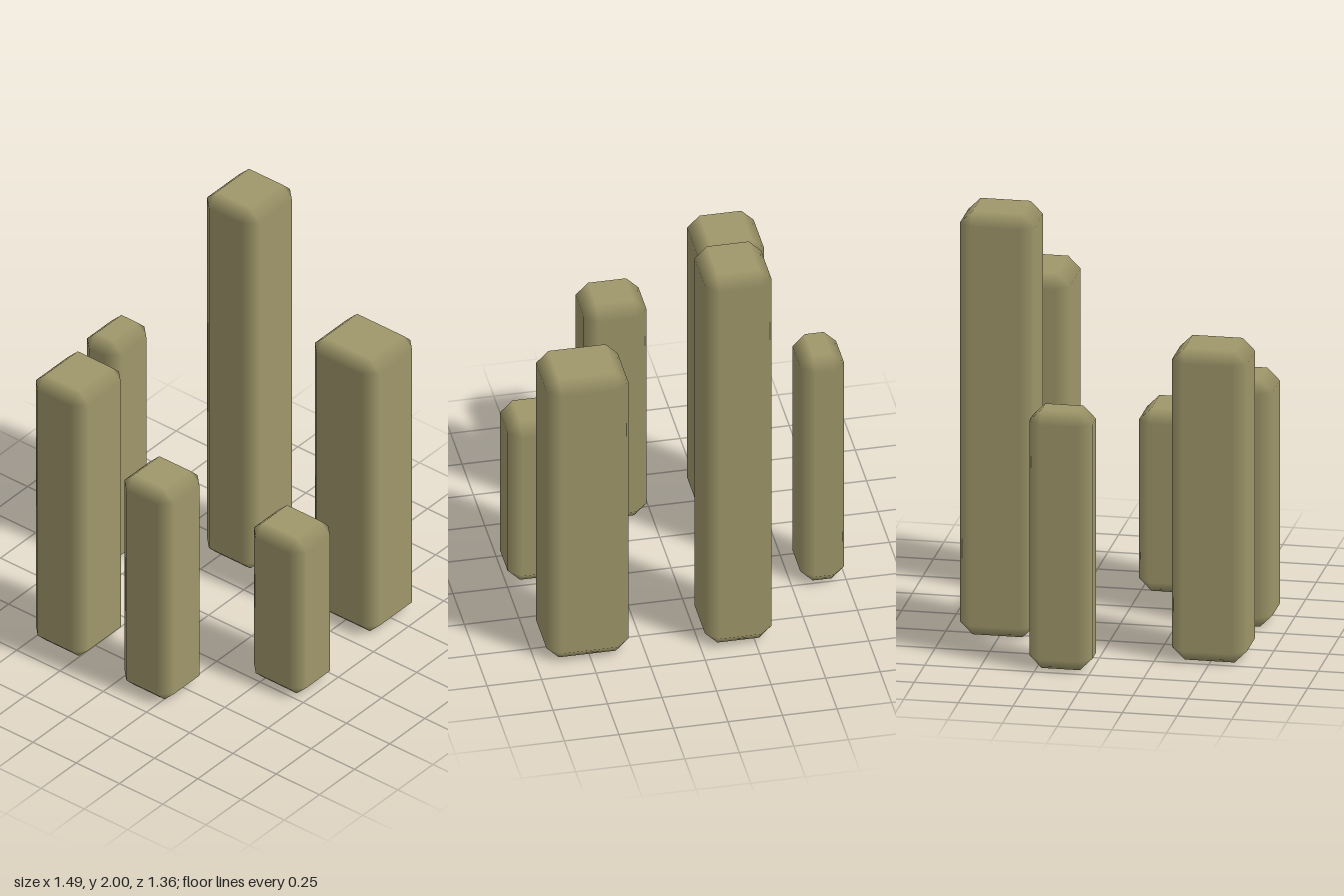
import * as THREE from 'three';
import { ConvexGeometry } from 'three/addons/geometries/ConvexGeometry.js';

const BEVEL = 0.057;

// Box with a single-step bevel; normals follow the flat faces so the bevels shade smoothly
function bevelledBox(w, h, d) {
  const half = [w / 2, h / 2, d / 2];
  const points = [];
  for (const sx of [-1, 1]) for (const sy of [-1, 1]) for (const sz of [-1, 1]) {
    const s = [sx, sy, sz];
    for (let axis = 0; axis < 3; axis++) {
      points.push(new THREE.Vector3(...half.map((v, i) => s[i] * (i === axis ? v : v - BEVEL))));
    }
  }
  const geometry = new ConvexGeometry(points);
  const pos = geometry.attributes.position;
  const normal = geometry.attributes.normal;
  for (let i = 0; i < pos.count; i++) {
    const p = [pos.getX(i), pos.getY(i), pos.getZ(i)];
    normal.setXYZ(i, ...p.map((v, k) => (Math.abs(v) > half[k] - BEVEL / 2 ? Math.sign(v) : 0)));
  }
  return geometry;
}

// Each pillar: name, x range, z range, height
const PILLARS = [
  ['tallBackPillar', -0.33, -0.025, -0.68, -0.338, 2.0],
  ['wideBackPillar', 0.32, 0.695, -0.65, -0.305, 1.51],
  ['slimSidePillar', -0.745, -0.545, -0.284, 0.004, 1.222],
  ['shortSidePillar', 0.435, 0.74, -0.01, 0.27, 0.863],
  ['broadFrontPillar', -0.505, -0.2, 0.322, 0.665, 1.472],
  ['smallFrontPillar', 0.02, 0.308, 0.388, 0.68, 1.168],
];

export function createModel() {
  const group = new THREE.Group();
  group.name = 'pillarCluster';
  const stone = new THREE.MeshStandardMaterial({ color: 0x9f976a });
  stone.name = 'olive stone';

  for (const [name, x0, x1, z0, z1, h] of PILLARS) {
    // Only the outermost bevel points lie on an axis extreme, so normals need no smoothing pass
    const mesh = new THREE.Mesh(pillarGeometry(x1 - x0, h, z1 - z0), stone);
    mesh.name = name;
    mesh.position.set((x0 + x1) / 2, h / 2, (z0 + z1) / 2);
    group.add(mesh);
  }
  return group;
}

// Restores the face normal for every vertex by its dominant axis
function pillarGeometry(w, h, d) {
  const geometry = bevelledBox(w, h, d);
  const half = [w / 2, h / 2, d / 2];
  const pos = geometry.attributes.position;
  for (let i = 0; i < pos.count; i++) {
    const p = [pos.getX(i), pos.getY(i), pos.getZ(i)];
    const gaps = p.map((v, k) => half[k] - Math.abs(v));
    const axis = gaps.indexOf(Math.min(...gaps));
    geometry.attributes.normal.setXYZ(i, ...p.map((v, k) => (k === axis ? Math.sign(v) : 0)));
  }
  return geometry;
}
